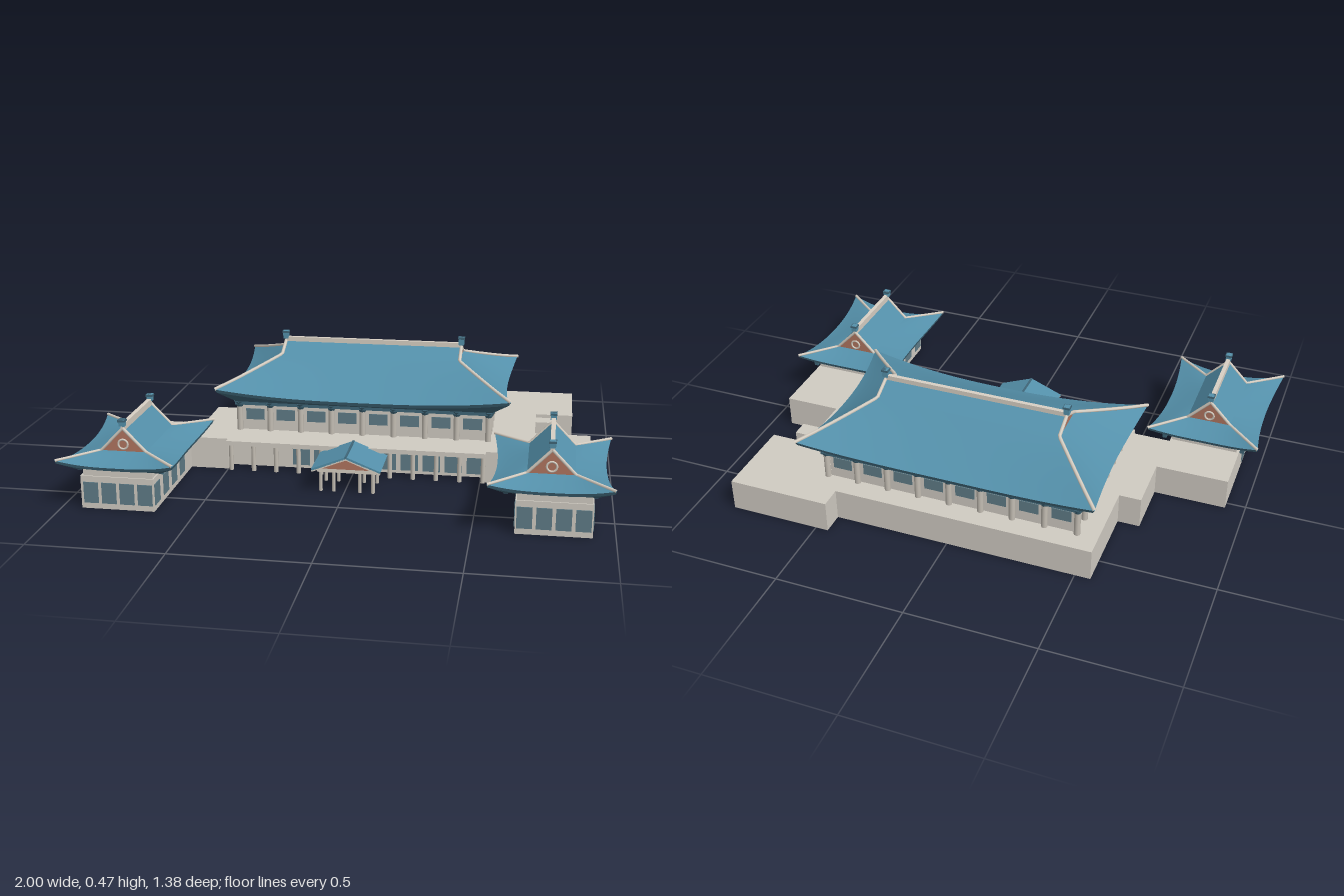
import * as THREE from 'three';

const mat = (name, color, double = false) => {
  const m = new THREE.MeshStandardMaterial({ color, side: double ? THREE.DoubleSide : THREE.FrontSide });
  m.name = name;
  return m;
};

// Surface swept from f(s, t) with s and t running 0..1
function grid(f, ns, nt, flat = false) {
  const pos = [], idx = [];
  for (let j = 0; j <= nt; j++) for (let i = 0; i <= ns; i++) pos.push(...f(i / ns, j / nt));
  for (let j = 0; j < nt; j++) for (let i = 0; i < ns; i++) {
    const a = j * (ns + 1) + i, b = a + ns + 1;
    idx.push(a, b, a + 1, a + 1, b, b + 1);
  }
  let g = new THREE.BufferGeometry();
  g.setAttribute('position', new THREE.Float32BufferAttribute(pos, 3));
  g.setIndex(idx);
  if (flat) g = g.toNonIndexed();
  g.computeVertexNormals();
  return g;
}

export function createModel() {
  const root = new THREE.Group();
  const stone = mat('stone', 0xd0cbc2, true);
  const tile = mat('roofTile', 0x5490aa, true);
  const eaveMat = mat('eaveShade', 0x3f6678, true);
  const glass = mat('glass', 0x5f7c87);
  const brick = mat('gableBrick', 0xb0755f, true);
  const column = mat('column', 0xc4beb4);
  const trim = mat('trim', 0xd8d0c4);

  const add = (parent, name, geo, material, x = 0, y = 0, z = 0) => {
    const m = new THREE.Mesh(geo, material);
    m.name = name;
    m.position.set(x, y, z);
    parent.add(m);
    return m;
  };
  const box = (parent, name, material, w, h, d, x, y, z) =>
    add(parent, name, new THREE.BoxGeometry(w, h, d), material, x, y, z);
  const post = (parent, name, r, y0, y1, x, z) =>
    add(parent, name, new THREE.CylinderGeometry(r, r, y1 - y0, 10), column, x, (y0 + y1) / 2, z);
  const tube = (parent, name, pts, r, material) => {
    const path = new THREE.CurvePath();
    for (let i = 1; i < pts.length; i++)
      path.add(new THREE.LineCurve3(new THREE.Vector3(...pts[i - 1]), new THREE.Vector3(...pts[i])));
    return add(parent, name, new THREE.TubeGeometry(path, (pts.length - 1) * 6, r, 6), material);
  };

  // Hip-and-gable roof with lifted corners, ridge along local x
  function roof(name, o) {
    const g = new THREE.Group();
    g.name = name;
    const lerp = THREE.MathUtils.lerp;
    const eave = u => lerp(o.mid, o.corner, Math.abs(u) ** 2.5);
    const longEdge = u => [u * o.a, eave(u), o.b - o.pull * (1 - u * u)];
    const shortEdge = u => [o.a - o.pull * (1 - u * u), eave(u), u * o.b];
    const mix = (p, q, t) => [lerp(p[0], q[0], t), lerp(p[1], q[1], t ** 1.12), lerp(p[2], q[2], t)];
    const drop = p => [p[0] * 0.985, p[1] - o.thick, p[2] * 0.985];
    const longTop = u => [u * o.R, o.gy, o.g];
    const shortTop = u => [o.R, o.gy, u * o.g];
    for (const turn of [0, Math.PI]) {
      const h = new THREE.Group();
      h.name = 'roofHalf';
      h.rotation.y = turn;
      g.add(h);
      const U = s => s * 2 - 1;
      add(h, 'longSlope', grid((s, t) => mix(longEdge(U(s)), longTop(U(s)), t), 20, 8), tile);
      add(h, 'upperSlope', grid((s, t) => [U(s) * o.R, lerp(o.gy, o.top, t), o.g * (1 - t)], 1, 1), tile);
      add(h, 'hipSlope', grid((s, t) => mix(shortEdge(U(s)), shortTop(U(s)), t), 20, 8), tile);
      for (const [edge, wall] of [[longEdge, u => [u * o.wx, o.soffit, o.wz]], [shortEdge, u => [o.wx, o.soffit, u * o.wz]]]) {
        add(h, 'eaveEdge', grid((s, t) => (t ? drop(edge(U(s))) : edge(U(s))), 20, 1), eaveMat);
        add(h, 'soffit', grid((s, t) => (t ? wall(U(s)) : drop(edge(U(s)))), 20, 1), eaveMat);
      }
      // Gable wall and the pale ridges that frame it
      add(h, 'gable', grid((s, t) => [o.R + 0.002, lerp(o.gy, o.top, t), U(s) * o.g * (1 - t)], 1, 1, true), brick);
      for (const sgn of [-1, 1]) {
        const pts = [[o.R, o.top, 0], [o.R, o.gy, sgn * o.g]];
        for (const t of [0.75, 0.5, 0.25, 0]) pts.push(mix([o.a, o.corner, sgn * o.b], [o.R, o.gy, sgn * o.g], t));
        tube(h, 'hipRidge', pts, o.rib, trim);
      }
      box(h, 'ridgeFinial', tile, 0.022, o.finial, 0.022, o.R, o.ridge + o.finial / 2 - 0.008, 0);
      box(h, 'finialCap', eaveMat, 0.027, 0.008, 0.027, o.R, o.ridge + o.finial - 0.012, 0);
      if (o.ring) {
        const r = add(h, 'gableRing', new THREE.TorusGeometry(0.018, 0.004, 6, 20), trim, o.R + 0.004, o.gy + 0.027, 0);
        r.rotation.y = Math.PI / 2;
      }
    }
    box(g, 'ridgeBeam', trim, o.R * 2, o.ridge - o.top + 0.015, 0.016, 0, (o.ridge + o.top - 0.015) / 2, 0);
    root.add(g);
    return g;
  }

  // Ground storey: outline walls and flat terrace
  const H = 0.125;
  const outline = [
    [-0.925, 0.645], [-0.65, 0.645], [-0.65, 0.155], [-0.5, 0.155], [-0.5, 0.1], [0.52, 0.1], [0.52, 0.155],
    [0.65, 0.155], [0.65, 0.645], [0.92, 0.645], [0.92, -0.105], [0.7, -0.105], [0.7, -0.25], [0.775, -0.25],
    [0.775, -0.315], [0.7, -0.315], [0.7, -0.36], [0.85, -0.36], [0.85, -0.69], [0.45, -0.69], [0.45, -0.605],
    [-0.56, -0.605], [-0.56, -0.255], [-0.645, -0.255], [-0.645, -0.03], [-0.925, -0.03]];
  const n = outline.length;
  add(root, 'groundWalls', grid((s, t) => {
    const p = outline[Math.round(s * n) % n];
    return [p[0], t * H, p[1]];
  }, n, 1, true), stone);
  const deck = new THREE.ShapeGeometry(new THREE.Shape(outline.map(p => new THREE.Vector2(...p))));
  deck.rotateX(Math.PI / 2);
  add(root, 'terrace', deck, stone, 0, H, 0);
  box(root, 'frontLedge', stone, 1.02, 0.018, 0.085, 0.01, H - 0.009, 0.1395);

  // Front colonnade and its glazing
  for (let i = 0; i <= 11; i++) {
    const x = -0.485 + i * 0.0905;
    if (Math.abs(x - 0.01) > 0.05) post(root, 'colonnadePost', 0.009, 0, 0.108, x, 0.16);
  }
  for (let i = 0; i < 9; i++) box(root, 'frontWindow', glass, 0.068, 0.085, 0.006, -0.214 + i * 0.0865, 0.056, 0.102);

  // Main hall
  const cx = 0.02, cz = -0.25, hx = 0.49, hz = 0.268;
  box(root, 'hallWalls', stone, hx * 2, 0.13, hz * 2, cx, 0.19, cz);
  box(root, 'hallBeam', eaveMat, hx * 2 + 0.05, 0.016, hz * 2 + 0.05, cx, 0.242, cz);
  const hallColumn = (x, z) => {
    post(root, 'hallColumn', 0.012, H, 0.235, x, z);
    add(root, 'columnBracket', new THREE.CylinderGeometry(0.024, 0.012, 0.022, 8), eaveMat, x, 0.234, z);
  };
  for (const s of [-1, 1]) {
    for (let i = 0; i <= 8; i++) hallColumn(cx - 0.5 + i * 0.125, cz + s * 0.275);
    for (let i = 0; i < 8; i++)
      box(root, 'hallWindow', glass, 0.075, 0.045, 0.006, cx - 0.4375 + i * 0.125, 0.19, cz + s * hz);
    for (let i = 1; i < 6; i++) hallColumn(cx + s * 0.5, cz - 0.275 + i * 0.0917);
    for (let i = 0; i < 6; i++)
      box(root, 'hallSideWindow', glass, 0.006, 0.045, 0.058, cx + s * hx, 0.19, cz - 0.229 + i * 0.0917);
  }
  const hall = roof('hallRoof', { a: 0.585, b: 0.352, pull: 0.028, mid: 0.272, corner: 0.31, R: 0.365, g: 0.085,
    gy: 0.395, top: 0.435, ridge: 0.45, thick: 0.014, soffit: 0.245, wx: 0.51, wz: 0.29, rib: 0.007, finial: 0.032 });
  hall.position.set(0.022, 0, cz);

  // Side wings
  for (const s of [-1, 1]) {
    const wx = s * 0.785, rx = s < 0 ? -0.783 : 0.77;
    box(root, 'wingUpperWall', stone, 0.26, 0.035, 0.47, wx, 0.14, 0.405);
    for (let i = 0; i < 4; i++) {
      const off = (i - 1.5) * 0.068;
      box(root, 'wingFrontWindow', glass, 0.055, 0.08, 0.006, wx + off, 0.062, 0.645);
      const z = 0.605 - i * 0.105;
      box(root, 'wingInnerWindow', glass, 0.006, 0.08, 0.06, s * 0.65, 0.062, z);
      if (s < 0 || i === 0) box(root, 'wingOuterWindow', glass, 0.006, 0.08, 0.06, s < 0 ? -0.925 : 0.92, 0.062, z);
      for (const e of [-1, 1]) box(root, 'wingBracket', eaveMat, 0.016, 0.018, 0.014, rx + e * 0.155, 0.146, 0.61 - i * 0.15);
    }
    const w = roof('wingRoof', { a: 0.283, b: 0.22, pull: 0.024, mid: 0.165, corner: 0.192, R: 0.163, g: 0.085,
      gy: 0.2, top: 0.288, ridge: 0.305, thick: 0.012, soffit: 0.147, wx: 0.235, wz: 0.16, rib: 0.006, finial: 0.025, ring: true });
    w.rotation.y = Math.PI / 2;
    w.position.set(rx, 0, 0.402);
  }

  // Entrance portico with a small gabled roof
  const porch = new THREE.Group();
  porch.name = 'portico';
  porch.position.x = 0.008;
  root.add(porch);
  const gableShape = k => new THREE.Shape([[-k, 0], [k, 0], [0, k * 0.4]].map(p => new THREE.Vector2(...p)));
  add(porch, 'porticoGable', new THREE.ExtrudeGeometry(gableShape(0.112), { depth: 0.155, bevelEnabled: false }), brick, 0, 0.092, 0.19);
  const pitch = Math.atan(0.4);
  for (const s of [-1, 1]) {
    const slab = box(porch, 'porticoSlope', tile, 0.142, 0.008, 0.195, s * 0.065, 0.118, 0.2655);
    slab.rotation.z = -s * pitch;
    const verge = box(porch, 'porticoVerge', trim, 0.142, 0.006, 0.004, s * 0.065, 0.112, 0.361);
    verge.rotation.z = -s * pitch;
    for (const x of [0.1, 0.05]) for (const z of [0.335, 0.225]) post(porch, 'porticoPost', 0.007, 0, 0.082, s * x, z);
  }
  box(porch, 'porticoBeam', trim, 0.225, 0.014, 0.155, 0, 0.085, 0.2675);
  box(porch, 'porticoRidge', eaveMat, 0.008, 0.008, 0.195, 0, 0.146, 0.2655);
  return root;
}
